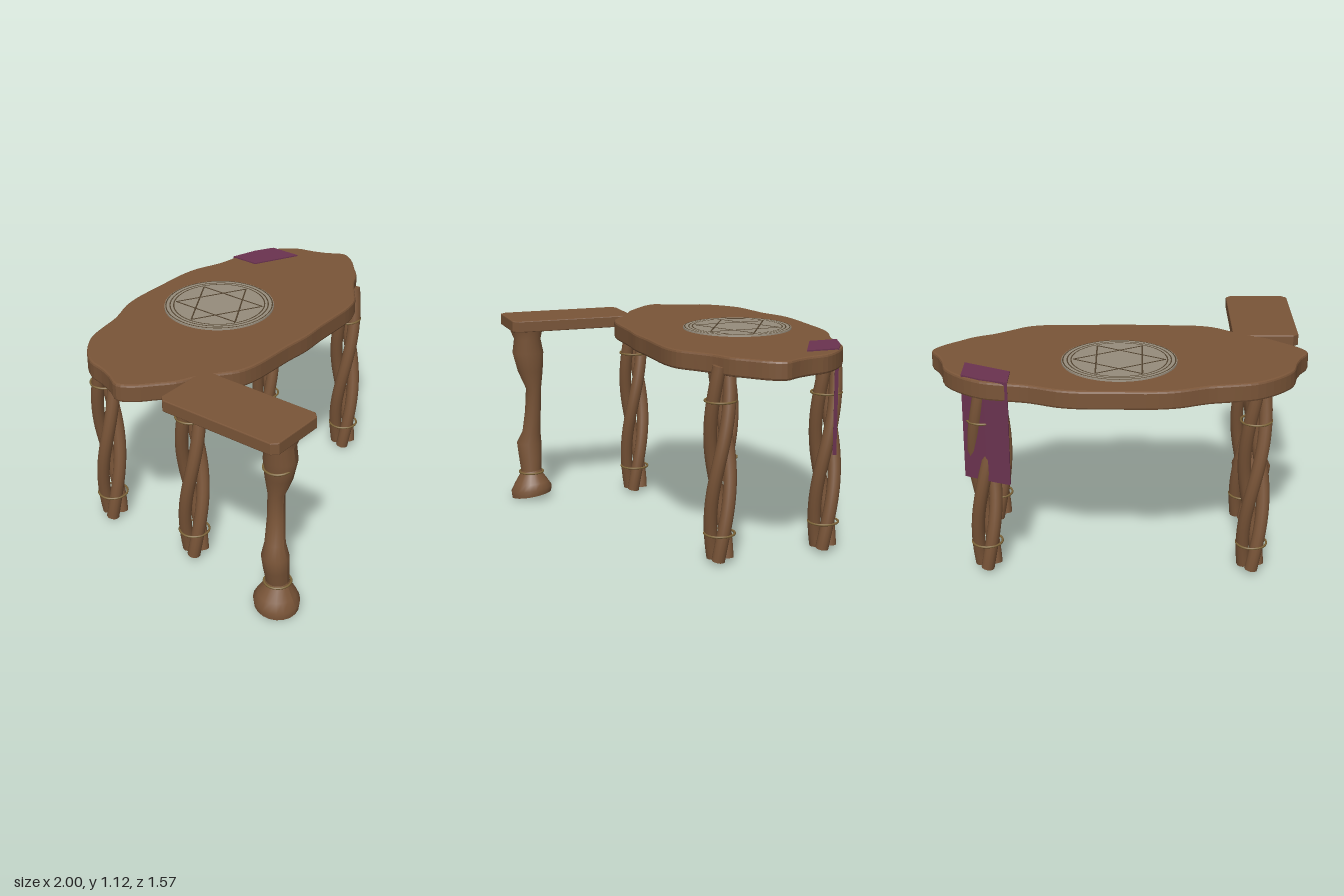
import * as THREE from 'three';

const mat = (color, side = THREE.FrontSide) => new THREE.MeshStandardMaterial({ color, side });
const wood = mat(0x7a5538);
const brass = mat(0x7d6438);
const stone = mat(0x968c7c);
const groove = mat(0x51422f, THREE.DoubleSide);
const cloth = mat(0x6b3350);

function add(parent, name, geometry, material, x = 0, y = 0, z = 0) {
  const mesh = new THREE.Mesh(geometry, material);
  mesh.name = name;
  mesh.position.set(x, y, z);
  parent.add(mesh);
  return mesh;
}

// Horizontal slab from an outline of [x, z] points, between two heights
function slab(points, y0, y1, bevel) {
  const shape = new THREE.Shape(points.map(([x, z]) => new THREE.Vector2(x, -z)));
  const geo = new THREE.ExtrudeGeometry(shape, {
    depth: y1 - y0 - 2 * bevel, bevelEnabled: bevel > 0, bevelThickness: bevel,
    bevelSize: bevel, bevelOffset: -bevel, bevelSegments: 2,
  });
  return geo.rotateX(-Math.PI / 2).translate(0, y0 + bevel, 0);
}

// Smooth closed loft through [y, x, z, radiusX, radiusZ, tilt] sections
function loft(sections, sides) {
  const pos = [], idx = [];
  sections.forEach(([y, cx, cz, rx, rz, tilt = 0]) => {
    for (let i = 0; i <= sides; i++) {
      const a = (i / sides) * Math.PI * 2;
      const s = Math.sin(a), c = Math.cos(a);
      pos.push(cx + rx * s, y + tilt * (s * 0.7 - c), cz + rz * c);
    }
  });
  const n = sides + 1;
  for (let r = 0; r < sections.length - 1; r++) {
    for (let i = 0; i < sides; i++) {
      const a = r * n + i, b = a + 1, d = a + n, e = d + 1;
      idx.push(a, b, e, a, e, d);
    }
  }
  // End caps with their own corners
  [[0, -1], [sections.length - 1, 1]].forEach(([r, dir]) => {
    const base = pos.length / 3;
    pos.push(sections[r][1], sections[r][0], sections[r][2]);
    for (let i = 0; i < n; i++) pos.push(...pos.slice((r * n + i) * 3, (r * n + i) * 3 + 3));
    for (let i = 1; i < n; i++) {
      if (dir > 0) idx.push(base, base + i, base + i + 1);
      else idx.push(base, base + i + 1, base + i);
    }
  });
  const geo = new THREE.BufferGeometry();
  geo.setAttribute('position', new THREE.Float32BufferAttribute(pos, 3));
  geo.setIndex(idx);
  geo.computeVertexNormals();
  return geo;
}

function band(parent, radius, x, y, z) {
  const geo = new THREE.TorusGeometry(radius, 0.006, 8, 32).rotateX(Math.PI / 2);
  return add(parent, 'legBand', geo, brass, x, y, z);
}

// Three strands twisted around each other, held by two bands
function twistedLeg(x, z) {
  const leg = new THREE.Group();
  leg.name = 'twistedLeg';
  leg.position.set(x, 0, z);
  for (let k = 0; k < 3; k++) {
    const pts = [];
    for (let i = 0; i <= 16; i++) {
      const t = i / 16;
      const a = Math.PI / 3 + (k * 2 * Math.PI) / 3 + (t * 4 * Math.PI) / 3;
      const r = 0.043 + 0.01 * Math.sin(t * Math.PI);
      pts.push(new THREE.Vector3(r * Math.sin(a), 0.025 + t * 1.03, r * Math.cos(a)));
    }
    const path = new THREE.CatmullRomCurve3(pts);
    const sides = 12, radius = 0.035;
    add(leg, 'strand', new THREE.TubeGeometry(path, 40, radius, sides), wood);
    // Closed strand ends
    [[0, 1], [1, -1]].forEach(([t, dir]) => {
      const cap = add(leg, 'strandEnd', new THREE.CircleGeometry(radius, sides), wood);
      const p = path.getPointAt(t);
      cap.position.copy(p);
      cap.quaternion.setFromUnitVectors(new THREE.Vector3(0, 0, 1), path.getTangentAt(t).multiplyScalar(-dir));
    });
  }
  band(leg, 0.08, 0, 0.87, 0);
  band(leg, 0.08, 0, 0.165, 0);
  return leg;
}

export function createModel() {
  const model = new THREE.Group();
  model.name = 'table';

  // Wavy tabletop, mirrored across x
  const half = [
    [0.2, -0.785], [0.31, -0.765], [0.45, -0.71], [0.58, -0.685], [0.7, -0.655],
    [0.82, -0.57], [0.9, -0.47], [0.925, -0.37], [0.955, -0.29], [1.0, -0.2],
    [0.96, -0.12], [0.88, -0.045], [0.8, 0.025], [0.7, 0.075], [0.61, 0.14],
    [0.52, 0.205], [0.42, 0.232], [0.3, 0.238], [0.15, 0.24],
  ];
  const mirrored = half.map(([x, z]) => [-x, z]).reverse();
  const outline = [...half, [0, 0.25], ...mirrored, [0, -0.787]];
  const curve = new THREE.CatmullRomCurve3(outline.map(([x, z]) => new THREE.Vector3(x, 0, z)), true);
  const smooth = curve.getPoints(120).slice(0, -1).map((p) => [p.x, p.z]);
  add(model, 'tabletop', slab(smooth, 1.01, 1.11, 0.012), wood);

  // Side shelf with clipped corners
  const [x0, x1, z0, z1, c] = [-0.98, -0.62, 0.06, 0.78, 0.03];
  add(model, 'sideShelf', slab([
    [x0 + c, z0], [x1 - c, z0], [x1, z0 + c], [x1, z1 - c],
    [x1 - c, z1], [x0 + c, z1], [x0, z1 - c], [x0, z0 + c],
  ].reverse(), 1.045, 1.11, 0.005), wood);

  // Round stone inlay with engraved rings and two crossed triangles
  const inlay = new THREE.Group();
  inlay.name = 'stoneInlay';
  inlay.position.set(0, 0, -0.35);
  model.add(inlay);
  add(inlay, 'disc', new THREE.CylinderGeometry(0.302, 0.305, 0.02, 64), stone, 0, 1.108, 0);
  for (const r of [0.295, 0.272, 0.252]) {
    add(inlay, 'engravedRing', new THREE.RingGeometry(r - 0.004, r + 0.003, 64).rotateX(-Math.PI / 2), groove, 0, 1.1195, 0);
  }
  for (let i = 0; i < 6; i++) {
    const a = (i * Math.PI) / 3;
    const line = add(inlay, 'engravedLine', new THREE.BoxGeometry(0.008, 0.002, 0.416), groove,
      0.12 * Math.cos(a), 1.1185, -0.12 * Math.sin(a));
    line.rotation.y = a;
  }

  // Four twisted legs
  for (const x of [-0.705, 0.7]) {
    for (const z of [0.03, -0.565]) model.add(twistedLeg(x, z));
  }

  // Shelf leg shaped like an animal limb ending in a hoof
  add(model, 'hoofedLeg', loft([
    [0.165, -0.795, 0.658, 0.06, 0.06],
    [0.25, -0.808, 0.658, 0.066, 0.068],
    [0.34, -0.82, 0.66, 0.07, 0.074],
    [0.41, -0.805, 0.648, 0.052, 0.054],
    [0.54, -0.787, 0.64, 0.045, 0.047],
    [0.68, -0.778, 0.635, 0.043, 0.045],
    [0.79, -0.78, 0.652, 0.066, 0.075],
    [0.9, -0.782, 0.662, 0.078, 0.092],
    [0.98, -0.782, 0.664, 0.076, 0.078],
    [1.03, -0.782, 0.668, 0.086, 0.094],
    [1.048, -0.782, 0.668, 0.086, 0.095],
  ], 20), wood);
  add(model, 'hoof', loft([
    [0.022, -0.803, 0.657, 0.115, 0.118, 0.016],
    [0.06, -0.803, 0.657, 0.12, 0.122, 0.014],
    [0.1, -0.8, 0.656, 0.102, 0.1, 0.006],
    [0.15, -0.796, 0.656, 0.068, 0.07],
    [0.18, -0.795, 0.657, 0.058, 0.06],
  ], 20), wood);
  band(model, 0.07, -0.795, 0.165, 0.657);
  band(model, 0.075, -0.795, 0.86, 0.66).rotation.z = 0.1;

  // Cloth draped over the back edge: flat part and hanging part
  const drape = new THREE.Group();
  drape.name = 'drapedCloth';
  model.add(drape);
  add(drape, 'clothTop', slab([
    [0.555, -0.53], [0.8, -0.4], [0.8, -0.58], [0.7, -0.64], [0.555, -0.69],
  ], 1.1, 1.117, 0), cloth);
  add(drape, 'clothHang', slab([
    [0.555, -0.672], [0.68, -0.62], [0.8, -0.56], [0.8, -0.582], [0.68, -0.642], [0.555, -0.693],
  ], 0.553, 1.115, 0), cloth);

  return model;
}
